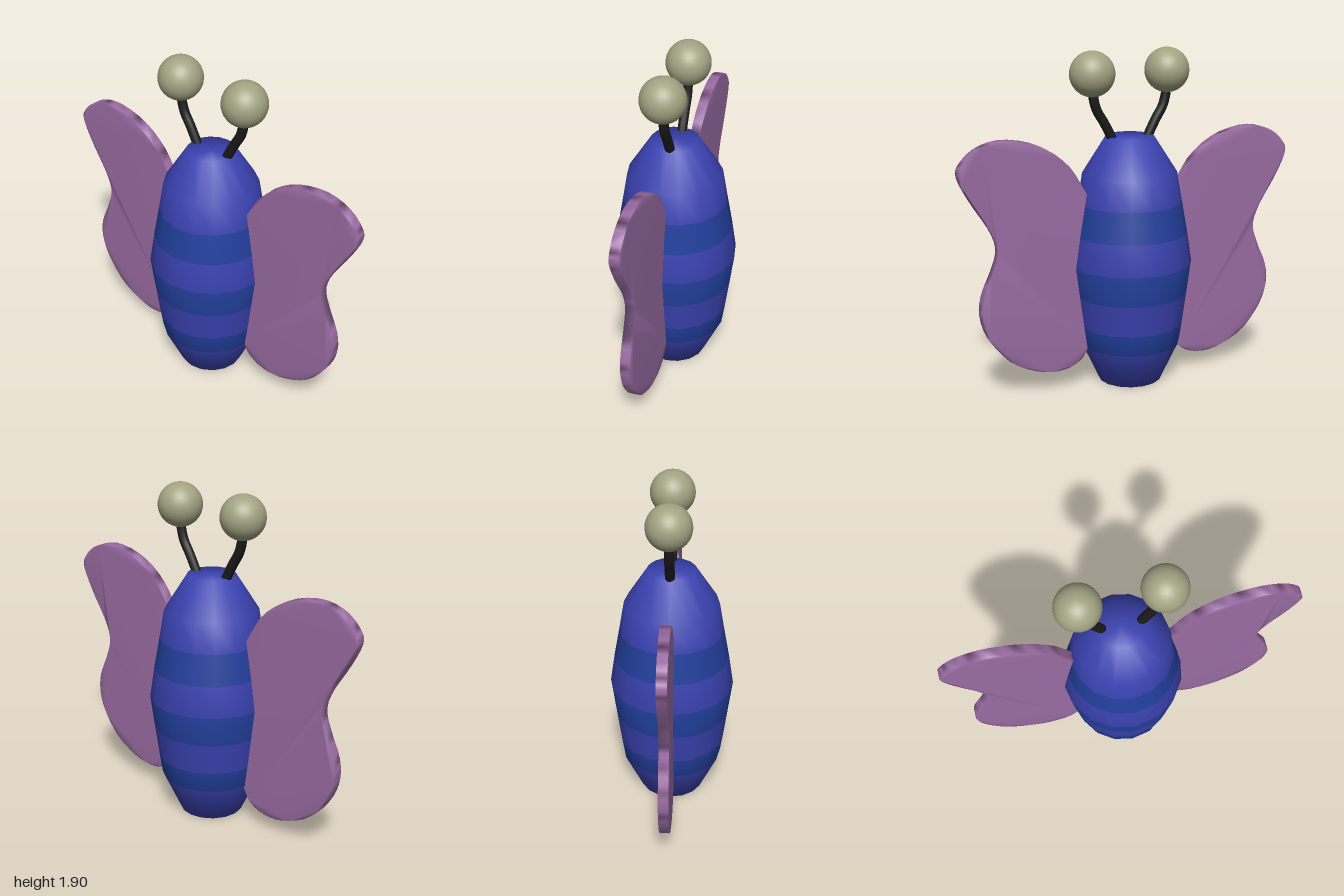
import * as THREE from 'three';
import { mergeVertices } from 'three/addons/utils/BufferGeometryUtils.js';

const paint = (color) => new THREE.MeshStandardMaterial({ color });
const blue = paint(0x3a42b0);
const stripeBlue = paint(0x223f9c);
const purple = paint(0x9a6ca3);
const black = paint(0x1a1a1a);
const olive = paint(0xa3a383);

function addMesh(parent, name, geometry, material) {
  const mesh = new THREE.Mesh(geometry, material);
  mesh.name = name;
  parent.add(mesh);
  return mesh;
}

// Faceted barrel body; alternate profile bands become the stripes
function createBody() {
  const body = new THREE.Group();
  body.name = 'body';
  const profile = [
    [0, 0], [0.18, 0], [0.285, 0.225], [0.303, 0.345], [0.327, 0.525], [0.35, 0.7],
    [0.324, 0.875], [0.293, 1.05], [0.265, 1.215], [0.135, 1.42], [0, 1.42],
  ].map(([r, y]) => new THREE.Vector2(r, y));
  const stripes = [2, 4, 6];
  const bands = profile.length - 1;
  const lathe = new THREE.LatheGeometry(profile, 16);
  const index = Array.from(lathe.index.array);

  // Split one lathe by band so both colours share the same smooth normals
  const pick = (striped) => {
    const g = lathe.clone();
    g.setIndex(index.filter((_, i) => stripes.includes(Math.floor(i / 6) % bands) === striped));
    return g;
  };
  addMesh(body, 'bodyShell', pick(false), blue);
  addMesh(body, 'bodyStripes', pick(true), stripeBlue);
  return body;
}

// Thin two-lobed wing with softened rim shading
function createWing(side) {
  const outline = [
    [0.15, 0.9], [0.28, 1.13], [0.385, 1.294], [0.545, 1.408], [0.743, 1.452], [0.893, 1.417],
    [0.982, 1.337], [0.995, 1.267], [0.93, 1.134], [0.824, 0.963], [0.791, 0.85],
    [0.824, 0.738], [0.88, 0.61], [0.893, 0.492], [0.85, 0.358], [0.733, 0.214],
    [0.572, 0.134], [0.44, 0.118], [0.33, 0.155], [0.27, 0.24], [0.15, 0.5],
  ].map(([x, y]) => new THREE.Vector2(side * x, y));
  const shape = new THREE.Shape();
  shape.moveTo(outline[0].x, outline[0].y);
  shape.splineThru(outline.slice(1));
  shape.closePath();
  const depth = 0.055;
  let g = new THREE.ExtrudeGeometry(shape, { depth, bevelEnabled: false, curveSegments: 3 });
  g.translate(0, side > 0 ? 0 : -0.027, -depth / 2 - 0.005);
  g.deleteAttribute('normal');
  g.deleteAttribute('uv');
  g = mergeVertices(g);
  g.computeVertexNormals();
  return g;
}

// Curved stalk with a ball tip
function createAntenna(side) {
  const antenna = new THREE.Group();
  antenna.name = side > 0 ? 'leftAntenna' : 'rightAntenna';
  const path = new THREE.CatmullRomCurve3(
    [[0.09, 1.37], [0.118, 1.43], [0.16, 1.508], [0.2, 1.575], [0.22, 1.65], [0.225, 1.74]]
      .map(([x, y]) => new THREE.Vector3(side * x, y, -0.005)));
  addMesh(antenna, 'stalk', new THREE.TubeGeometry(path, 20, 0.027, 12), black);
  const ball = addMesh(antenna, 'ballTip', new THREE.SphereGeometry(0.125, 32, 20), olive);
  ball.position.set(side * 0.225, 1.773, -0.005);
  return antenna;
}

export function createModel() {
  const model = new THREE.Group();
  model.name = 'butterfly';
  model.add(createBody());
  for (const side of [1, -1]) {
    addMesh(model, side > 0 ? 'leftWing' : 'rightWing', createWing(side), purple);
    model.add(createAntenna(side));
  }
  return model;
}
